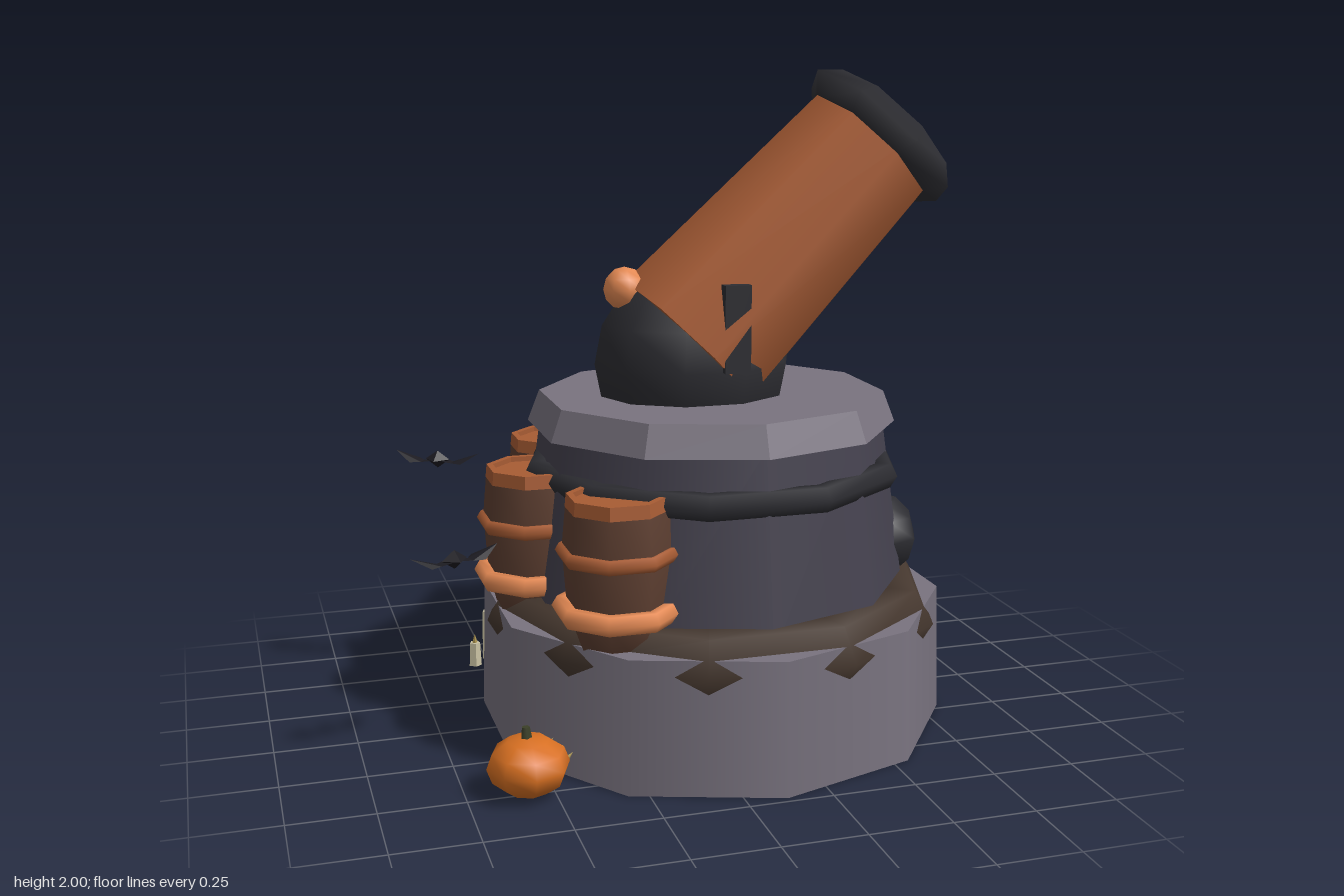
import * as THREE from 'three';

const STONE = 0x79737f, SLATE = 0x45424f, WOOD = 0xa85c34, DARK = 0x2d2d32;
const BROWN = 0x46382f, STAVE = 0x5f4032, COPPER = 0xe58a54;
const TOWER_X = 0.12;

function mat(color, flat = false, side = THREE.FrontSide) {
  return new THREE.MeshStandardMaterial({ color, flatShading: flat, side });
}

function add(parent, name, geometry, color, pos = [0, 0, 0], flat = false, side) {
  const mesh = new THREE.Mesh(geometry, mat(color, flat, side));
  mesh.name = name;
  mesh.position.set(...pos);
  parent.add(mesh);
  return mesh;
}

function group(parent, name, pos = [0, 0, 0]) {
  const g = new THREE.Group();
  g.name = name;
  g.position.set(...pos);
  parent.add(g);
  return g;
}

// cylinder standing between two heights
function drum(rTop, rBottom, y0, y1, sides) {
  return new THREE.CylinderGeometry(rTop, rBottom, y1 - y0, sides).translate(0, (y0 + y1) / 2, 0);
}

// horizontal ring
function ring(R, r, radial, sides) {
  return new THREE.TorusGeometry(R, r, radial, sides).rotateX(Math.PI / 2);
}

function buildTower(root) {
  const tower = group(root, 'tower', [TOWER_X, 0, 0]);
  add(tower, 'base', drum(0.718, 0.73, 0, 0.4, 10), STONE);
  add(tower, 'lowerRing', ring(0.6, 0.115, 6, 10), BROWN, [0, 0.352, 0]);
  add(tower, 'wall', drum(0.52, 0.6, 0.38, 0.96, 10), SLATE).scale.x = 1.02;
  add(tower, 'upperRing', ring(0.55, 0.042, 6, 10), DARK, [0, 0.805, 0]);
  add(tower, 'topSlab', drum(0.51, 0.545, 0.935, 1.03, 10), STONE, [0, 0, 0], true).scale.x = 1.05;
}

function buildCannon(root) {
  const cannon = group(root, 'cannon');
  const breech = add(cannon, 'breech', new THREE.SphereGeometry(0.31, 10, 8), DARK, [0.06, 1.13, 0]);
  breech.scale.z = 0.82;
  add(cannon, 'breechKnob', new THREE.SphereGeometry(0.066, 8, 6), COPPER, [-0.155, 1.358, 0]);

  // barrel and muzzle lie along a tilted axis
  const tilted = group(cannon, 'tiltedBarrel', [0, 1.14, 0]);
  tilted.rotation.z = -Math.PI / 4;
  add(tilted, 'barrel', drum(0.232, 0.278, 0.06, 0.925, 8), WOOD);
  add(tilted, 'muzzleRing', ring(0.23, 0.058, 4, 8), DARK, [0, 0.933, 0]);

  for (const s of [-1, 1]) {
    add(cannon, 'sideBracket', new THREE.BoxGeometry(0.08, 0.26, 0.08), DARK, [0.12, 1.26, s * 0.222], true);
  }
}

function buildBomb(root, x, y, z, r) {
  const bomb = group(root, 'bomb', [x, y, z]);
  add(bomb, 'bombBody', new THREE.SphereGeometry(r, 8, 6), DARK);
  add(bomb, 'fuse', drum(0.014, 0.02, r - 0.02, r + 0.07, 6), WOOD);
  add(bomb, 'fuseTip', new THREE.SphereGeometry(0.023, 6, 5), COPPER, [0, r + 0.075, 0]);
}

function buildKeg(root, x, z) {
  const keg = group(root, 'keg', [x, 0, z]);
  keg.rotation.y = Math.PI / 8;
  const profile = [[0, 0.34], [0.11, 0.34], [0.148, 0.48], [0.162, 0.67], [0.15, 0.8]]
    .map(p => new THREE.Vector2(...p));
  add(keg, 'kegBody', new THREE.LatheGeometry(profile, 8), STAVE);
  // rim with a slightly recessed lid
  const rim = [[0.152, 0.79], [0.148, 0.83], [0.128, 0.83], [0.128, 0.815], [0, 0.815]]
    .map(p => new THREE.Vector2(...p));
  add(keg, 'kegLid', new THREE.LatheGeometry(rim, 8), WOOD, [0, 0, 0], true);
  add(keg, 'upperHoop', ring(0.158, 0.024, 6, 8), WOOD, [0, 0.662, 0]);
  add(keg, 'lowerHoop', ring(0.162, 0.032, 6, 8), COPPER, [0, 0.495, 0]);
}

function buildPumpkin(root) {
  const pumpkin = group(root, 'pumpkin', [-0.575, 0.09, 0.5]);
  const body = add(pumpkin, 'pumpkinBody', new THREE.SphereGeometry(0.12, 8, 6), 0xd87022);
  body.scale.y = 0.72;
  const stem = add(pumpkin, 'stem', drum(0.012, 0.018, 0.07, 0.115, 5), 0x3c4028);
  stem.rotation.z = 0.05;
  // small dry leaves at its side
  for (let i = 0; i < 3; i++) {
    const leaf = add(pumpkin, 'leaf', new THREE.ConeGeometry(0.014, 0.045, 4), 0xb09a55,
      [0.075 + i * 0.022, 0.02 - i * 0.012, -0.085 + i * 0.03], true);
    leaf.rotation.z = -0.8;
  }
}

function buildBat(root, x, y, z, turn) {
  const bat = group(root, 'bat', [x, y, z]);
  bat.rotation.y = turn;
  const body = add(bat, 'batBody', new THREE.OctahedronGeometry(0.04), 0x1d1c22, [0, 0, 0], true);
  body.scale.set(1, 0.7, 1);
  const outline = [[0, 0.022], [0.05, 0.014], [0.075, 0.042], [0.14, 0], [0.085, -0.03], [0.05, -0.018], [0, -0.022]];
  for (const s of [-1, 1]) {
    const wing = new THREE.ShapeGeometry(new THREE.Shape(outline.map(([a, b]) => new THREE.Vector2(a * s, b))));
    wing.rotateX(-Math.PI / 2);
    // wings sag near the body and rise at the tip
    const p = wing.attributes.position;
    for (let i = 0; i < p.count; i++) {
      const a = Math.abs(p.getX(i));
      p.setY(i, a > 0.1 ? 0.025 : a > 0.03 ? -0.008 : 0);
    }
    wing.computeVertexNormals();
    add(bat, 'batWing', wing, 0x1d1c22, [0, 0, 0], true, THREE.DoubleSide);
  }
}

function buildCandle(root, x, z, h) {
  const candle = group(root, 'candle', [x, 0, z]);
  add(candle, 'wax', drum(0.018, 0.022, 0, h, 5), 0xc9c1a2, [0, 0, 0], true);
  add(candle, 'flame', new THREE.ConeGeometry(0.009, 0.03, 4), 0xa8904e, [0, h + 0.015, 0], true);
}

export function createModel() {
  const root = new THREE.Group();
  root.name = 'mortarTower';

  buildTower(root);
  buildCannon(root);

  buildBomb(root, 0.575, 0.757, -0.185, 0.13);
  buildBomb(root, 0.65, 0.545, 0.075, 0.135);
  buildBomb(root, 0.535, 0.545, -0.42, 0.13);

  for (const [x, z] of [[-0.285, -0.4], [-0.44, 0], [-0.285, 0.4]]) buildKeg(root, x, z);

  buildPumpkin(root);
  buildBat(root, -0.675, 0.77, -0.405, -0.48);
  buildBat(root, -0.733, 0.64, 0.275, 0.32);

  for (const [x, z, h] of [[-0.545, -0.555, 0.08], [-0.49, -0.61, 0.17], [-0.43, -0.565, 0.13]]) {
    buildCandle(root, x, z, h);
  }
  return root;
}
